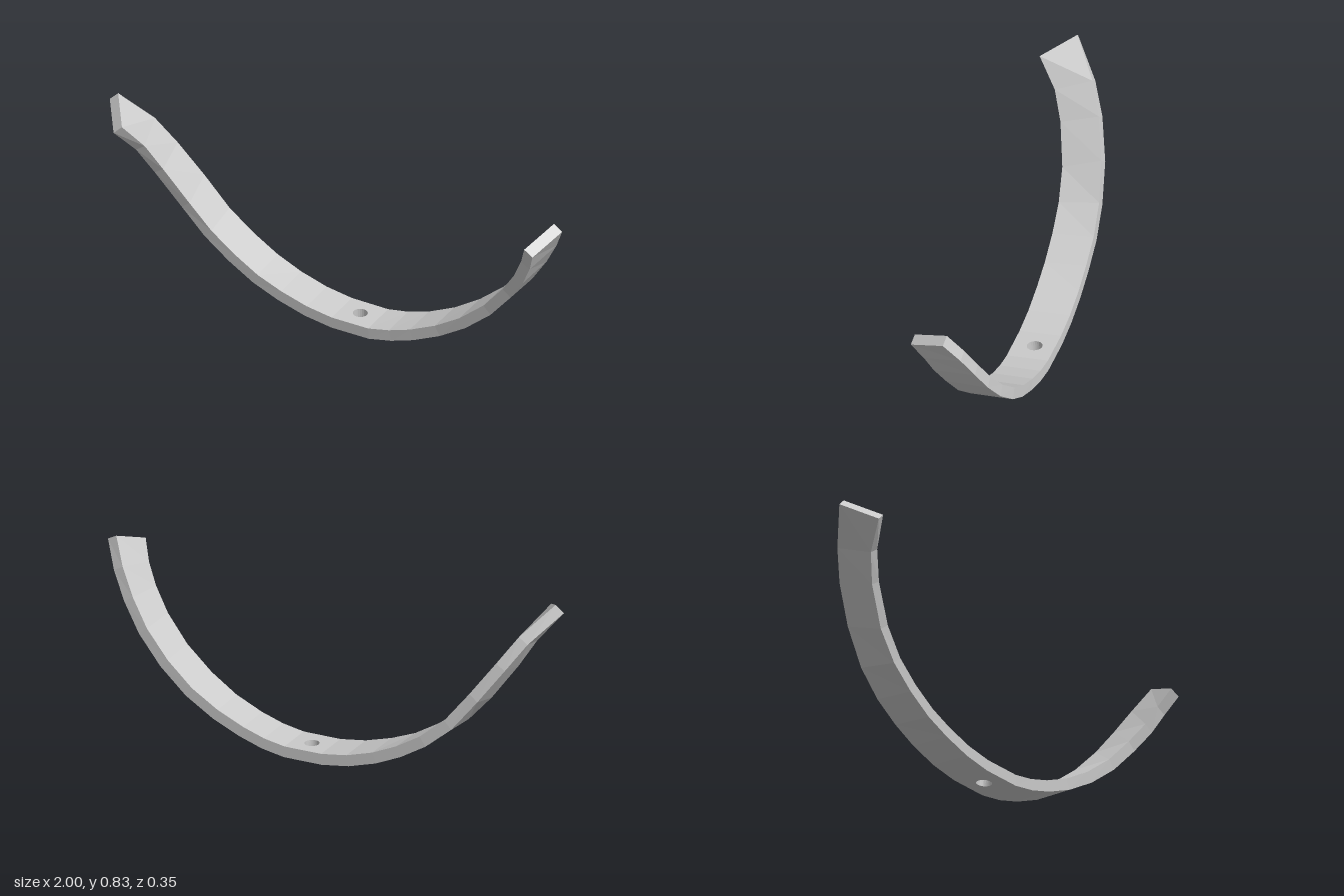
import * as THREE from 'three';

// Stations along the band: front edge x, y, z then back edge x, y, z (outer face)
const STATIONS = [
  [-0.915, 0.73, 0.17, -1, 0.8, 0.04],
  [-0.86, 0.63, 0.085, -0.89, 0.68, -0.06],
  [-0.8, 0.525, 0.042, -0.815, 0.57, -0.11],
  [-0.7, 0.38, 0.005, -0.715, 0.43, -0.15],
  [-0.605, 0.27, -0.005, -0.61, 0.295, -0.168],
  [-0.5, 0.185, -0.007, -0.5, 0.2, -0.175],
  [-0.39, 0.115, -0.006, -0.39, 0.13, -0.174],
  [-0.28, 0.067, -0.003, -0.28, 0.077, -0.172],
  [-0.16, 0.028, 0, -0.16, 0.037, -0.169],
  [-0.04, 0.006, 0.004, -0.04, 0.015, -0.165],
  [0.13, 0, 0.01, 0.13, 0.008, -0.158],
  [0.23, 0.016, 0.012, 0.23, 0.022, -0.153],
  [0.33, 0.045, 0.016, 0.33, 0.05, -0.147],
  [0.45, 0.095, 0.022, 0.45, 0.1, -0.143],
  [0.57, 0.165, 0.035, 0.57, 0.17, -0.138],
  [0.69, 0.26, 0.05, 0.69, 0.265, -0.122],
  [0.79, 0.37, 0.072, 0.795, 0.375, -0.1],
  [0.86, 0.465, 0.102, 0.875, 0.485, -0.07],
  [0.905, 0.55, 0.13, 0.94, 0.59, -0.03],
  [0.94, 0.63, 0.173, 0.995, 0.69, 0.027],
];
const THICKNESS = 0.046;
const HOLE_CELL = 9; // span that carries the hole
const HOLE_RADIUS = 0.031;
const HOLE_SIDES = 24;

function createBand() {
  const positions = [];
  const quad = (a, b, c, d) => {
    for (const p of [a, b, c, a, c, d]) positions.push(p.x, p.y, p.z);
  };

  // Cross-sections: outer corners, then inner corners offset along the surface normal
  const rings = STATIONS.map(([a, b, c, d, e, f]) => ({
    fo: new THREE.Vector3(a, b, c),
    bo: new THREE.Vector3(d, e, f),
  }));
  const mid = (r) => r.fo.clone().add(r.bo).multiplyScalar(0.5);
  const last = rings.length - 1;
  rings.forEach((r, i) => {
    const tangent = mid(rings[Math.min(i + 1, last)]).sub(mid(rings[Math.max(i - 1, 0)]));
    const normal = r.fo.clone().sub(r.bo).cross(tangent).setLength(THICKNESS);
    r.fi = r.fo.clone().add(normal);
    r.bi = r.bo.clone().add(normal);
  });

  for (let i = 0; i < last; i++) {
    const p = rings[i], q = rings[i + 1];
    quad(p.fo, q.fo, q.fi, p.fi); // front edge
    quad(p.bi, q.bi, q.bo, p.bo); // back edge
    if (i === HOLE_CELL) {
      addHoledSpan(p, q, quad);
    } else {
      quad(p.fi, q.fi, q.bi, p.bi); // inner face
      quad(p.bo, q.bo, q.fo, p.fo); // outer face
    }
  }

  // End caps
  const s = rings[0], e = rings[last];
  quad(s.bo, s.fo, s.fi, s.bi);
  quad(e.bi, e.fi, e.fo, e.bo);

  const geometry = new THREE.BufferGeometry();
  geometry.setAttribute('position', new THREE.Float32BufferAttribute(positions, 3));
  geometry.computeVertexNormals();
  return geometry;
}

// Span with a round through hole: rings of quads from the circle to the span's border
function addHoledSpan(p, q, quad) {
  const at = (f0, f1, b0, b1, u, v) =>
    f0.clone().lerp(f1, u).lerp(b0.clone().lerp(b1, u), v);
  const inner = (u, v) => at(p.fi, q.fi, p.bi, q.bi, u, v);
  const outer = (u, v) => at(p.fo, q.fo, p.bo, q.bo, u, v);
  const length = p.fo.distanceTo(q.fo), width = p.fo.distanceTo(p.bo);
  const sample = (k) => {
    const a = (k / HOLE_SIDES) * Math.PI * 2;
    const c = Math.cos(a), s = Math.sin(a);
    const m = 0.5 / Math.max(Math.abs(c), Math.abs(s));
    const hole = [0.5 + (HOLE_RADIUS / length) * c, 0.52 + (HOLE_RADIUS / width) * s];
    const border = [0.5 + m * c, 0.5 + m * s];
    return { hi: inner(...hole), ho: outer(...hole), si: inner(...border), so: outer(...border) };
  };
  for (let k = 0; k < HOLE_SIDES; k++) {
    const a = sample(k), b = sample(k + 1);
    quad(a.hi, a.si, b.si, b.hi); // inner face
    quad(b.ho, b.so, a.so, a.ho); // outer face
    quad(a.ho, a.hi, b.hi, b.ho); // hole wall
  }
}

export function createModel() {
  const group = new THREE.Group();
  group.name = 'curvedStrap';
  const material = new THREE.MeshStandardMaterial({ color: 0xcccccc, flatShading: true });
  const band = new THREE.Mesh(createBand(), material);
  band.name = 'bandWithHole';
  group.add(band);
  return group;
}
